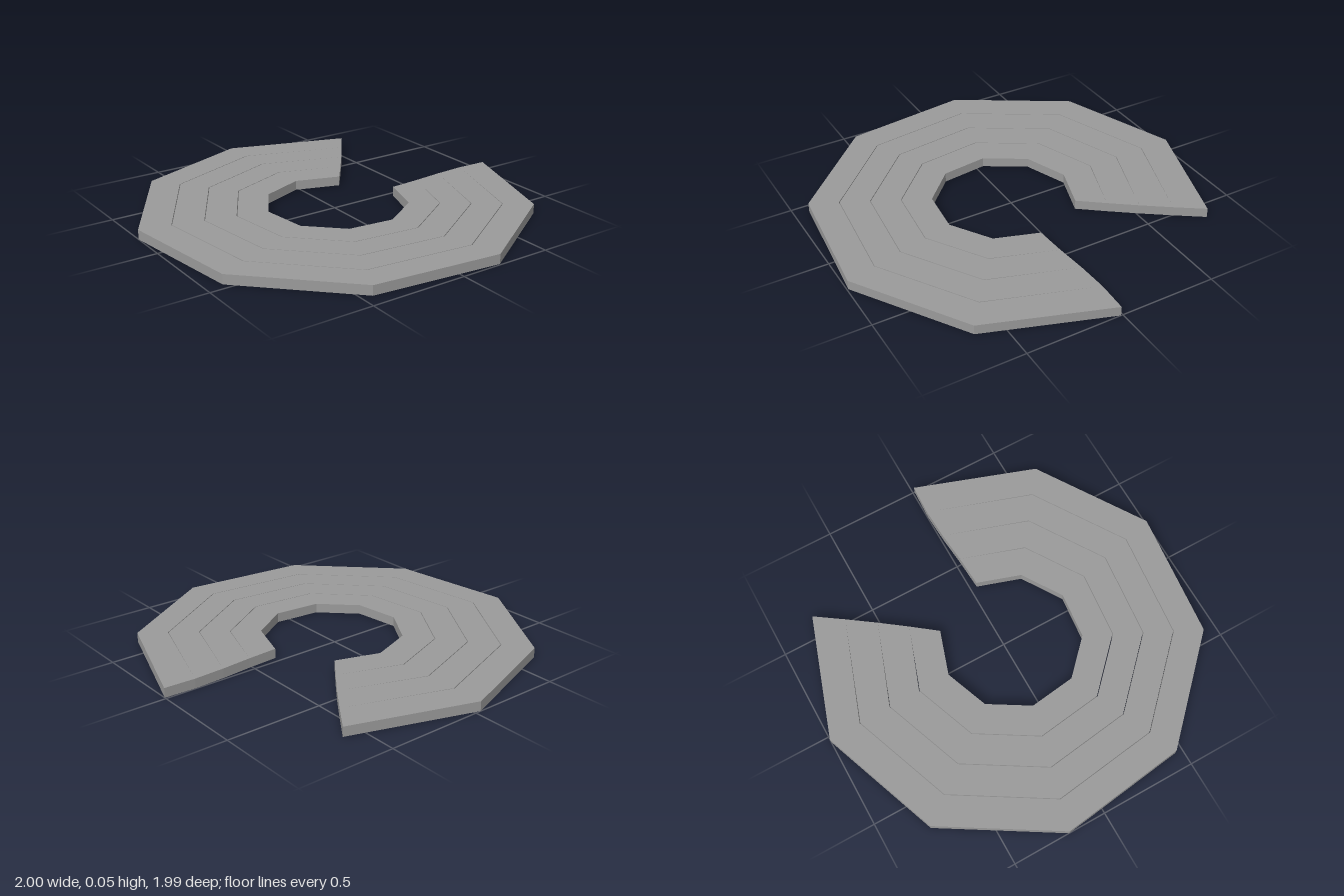
import * as THREE from 'three';

// Corners of the open ring as [x, z], from the back end round to the front end
const OUTER = [[0.6, -0.79], [-0.03, -1], [-0.65, -0.77], [-1, -0.2], [-0.915, 0.46], [-0.445, 0.923], [0.22, 0.993], [0.78, 0.637], [1, 0.01]];
const INNER = [[0.208, -0.255], [-0.02, -0.33], [-0.245, -0.245], [-0.37, -0.04], [-0.34, 0.2], [-0.17, 0.365], [0.07, 0.39], [0.275, 0.26], [0.35, 0.035]];
const BANDS = 4;
const HEIGHT = 0.05;
const SEAM = 0.003; // half width of the hairline seam, as a fraction of the ring's width
const LAST = OUTER.length - 1;

// Corner line at fraction t from the outer to the inner rim, moved by the seam
// except at its two ends, where the bands join and the edge bows slightly
function ringLine(t, seam) {
  const bow = {
    0: 0.01 * Math.sin(Math.PI * t),
    [LAST]: -0.012 * Math.sin(Math.PI * t) - 0.005 * Math.sin(2 * Math.PI * t),
  };
  return OUTER.map(([x, z], i) => {
    const isEnd = i in bow;
    const f = isEnd ? t : t + seam;
    const px = x + (INNER[i][0] - x) * f;
    const pz = z + (INNER[i][1] - z) * f + (isEnd ? bow[i] : 0);
    return new THREE.Vector2(px, -pz); // shape y becomes -z when laid flat
  });
}

export function createModel() {
  const group = new THREE.Group();
  group.name = 'openRingPlate';
  const material = new THREE.MeshStandardMaterial({ color: 0x9a9a9a, flatShading: true });

  // Concentric bands side by side, with hairline seams between them
  for (let b = 0; b < BANDS; b++) {
    const outer = ringLine(b / BANDS, b > 0 ? SEAM : 0);
    const inner = ringLine((b + 1) / BANDS, b < BANDS - 1 ? -SEAM : 0);
    const shape = new THREE.Shape([...outer, ...inner.reverse()]);
    const geometry = new THREE.ExtrudeGeometry(shape, { depth: HEIGHT, bevelEnabled: false });
    geometry.rotateX(-Math.PI / 2);
    const band = new THREE.Mesh(geometry, material);
    band.name = `ringBand${b + 1}`;
    group.add(band);
  }
  return group;
}
